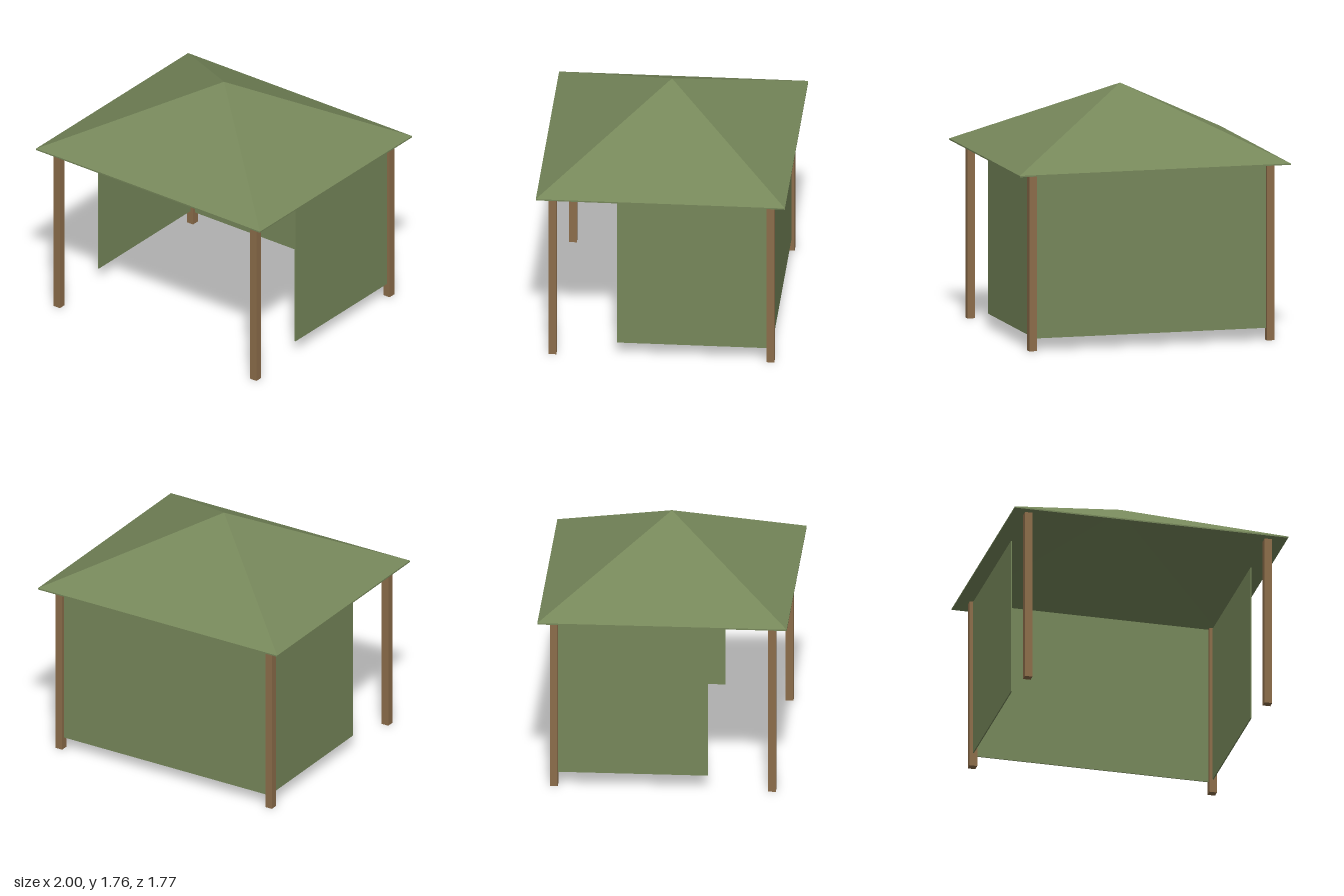
import * as THREE from 'three';

const canvas = new THREE.MeshStandardMaterial({ color: 0x76875a });
canvas.name = 'olive canvas';
const wood = new THREE.MeshStandardMaterial({ color: 0x8c6d4a });
wood.name = 'brown wood';

const HALF_X = 1, HALF_Z = 0.885, EAVE = 1.265, APEX = 1.765, THICK = 0.01;

// Thin hollow hipped roof: outer slopes, rim and inner slopes
function roofGeometry() {
  const corners = [[1, 1], [1, -1], [-1, -1], [-1, 1]].map(([x, z]) => [x * HALF_X, z * HALF_Z]);
  const points = [];
  const add = (...triangle) => triangle.forEach((p) => points.push(...p));
  for (let i = 0; i < 4; i++) {
    const [ax, az] = corners[i], [bx, bz] = corners[(i + 1) % 4];
    const aTop = [ax, EAVE + THICK, az], bTop = [bx, EAVE + THICK, bz];
    const aLow = [ax, EAVE, az], bLow = [bx, EAVE, bz];
    add(aTop, bTop, [0, APEX, 0]);
    add(aLow, bLow, bTop);
    add(aLow, bTop, aTop);
    add(bLow, aLow, [0, APEX - THICK, 0]);
  }
  const geometry = new THREE.BufferGeometry();
  geometry.setAttribute('position', new THREE.Float32BufferAttribute(points, 3));
  geometry.computeVertexNormals();
  return geometry;
}

export function createModel() {
  const group = new THREE.Group();
  group.name = 'gazebo';

  // Box given by its lower and upper limits
  const box = (name, material, [x0, y0, z0], [x1, y1, z1]) => {
    const mesh = new THREE.Mesh(new THREE.BoxGeometry(x1 - x0, y1 - y0, z1 - z0), material);
    mesh.position.set((x0 + x1) / 2, (y0 + y1) / 2, (z0 + z1) / 2);
    mesh.name = name;
    group.add(mesh);
  };

  const roof = new THREE.Mesh(roofGeometry(), canvas);
  roof.name = 'roof';
  group.add(roof);

  for (const [side, sx] of [['left', 1], ['right', -1]]) {
    const x = sx * 0.877;
    // Corner posts
    for (const [end, sz] of [['Front', 1], ['Back', -1]]) {
      const z = sz * 0.774;
      box(`${side}${end}Post`, wood, [x - 0.0275, 0, z - 0.0275], [x + 0.0275, 1.28, z + 0.0275]);
    }
    // Side curtain covering the rear part of the bay
    box(`${side}Curtain`, canvas, [x - 0.004, 0.1, -0.75], [x + 0.004, 1.275, 0.317]);
  }

  // Back curtain between the rear posts
  box('backCurtain', canvas, [-0.855, 0.087, -0.778], [0.855, 1.275, -0.77]);

  return group;
}
